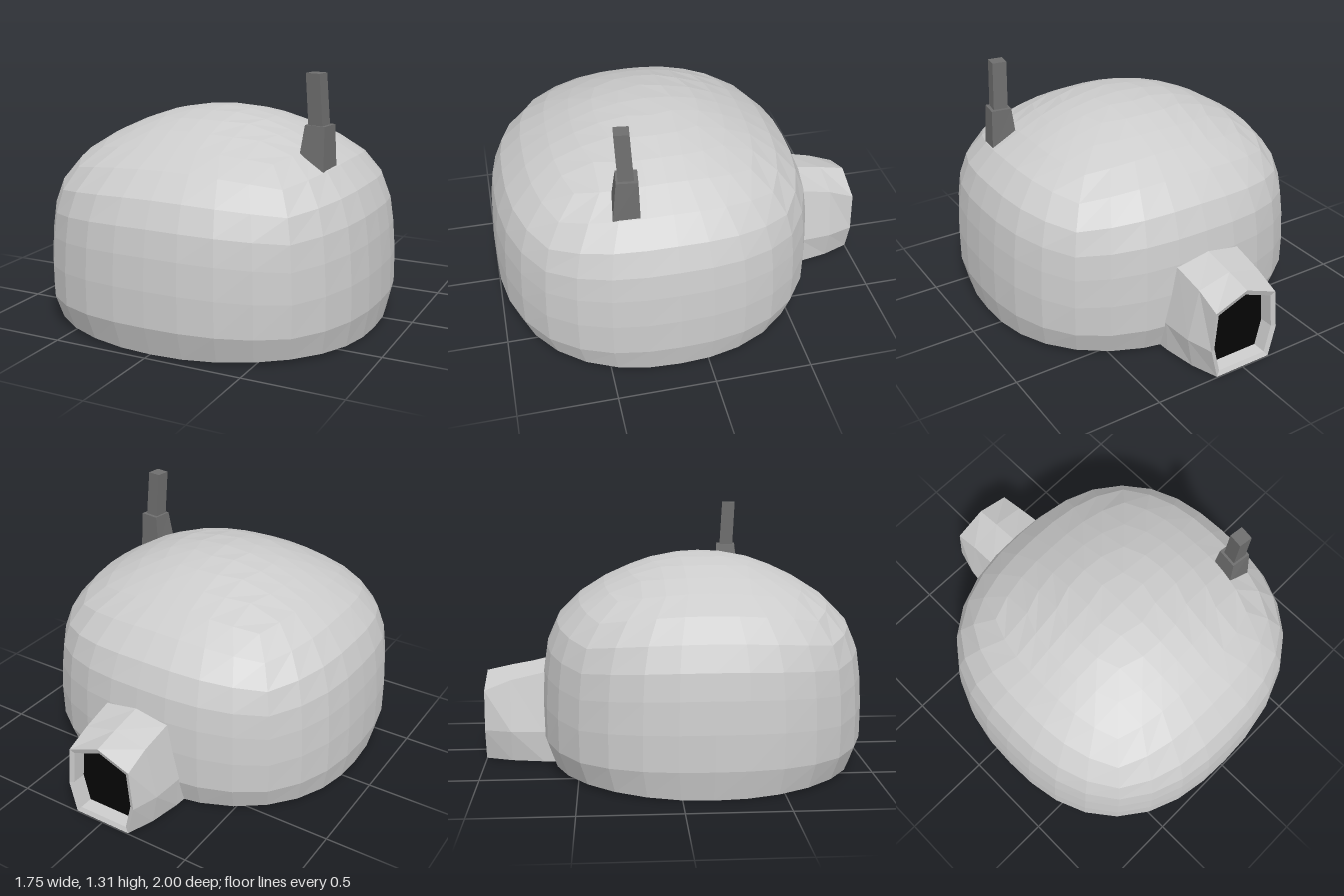
import * as THREE from 'three';

const V = (x, y, z) => new THREE.Vector3(x, y, z);

function flatMesh(name, geometry, color) {
  geometry.computeVertexNormals();
  const mesh = new THREE.Mesh(geometry, new THREE.MeshStandardMaterial({ color, flatShading: true }));
  mesh.name = name;
  return mesh;
}

// Skin a stack of equal-length closed rings; a ring collapsed to one point makes a cap.
function loft(name, rings, color) {
  const pos = [];
  const tri = (a, b, c) => {
    if (a.equals(b) || b.equals(c) || a.equals(c)) return;
    pos.push(...a.toArray(), ...b.toArray(), ...c.toArray());
  };
  for (let i = 0; i < rings.length - 1; i++) {
    const n = rings[i].length;
    for (let j = 0; j < n; j++) {
      const k = (j + 1) % n;
      tri(rings[i][j], rings[i][k], rings[i + 1][k]);
      tri(rings[i][j], rings[i + 1][k], rings[i + 1][j]);
    }
  }
  const geo = new THREE.BufferGeometry();
  geo.setAttribute('position', new THREE.Float32BufferAttribute(pos, 3));
  return flatMesh(name, geo, color);
}

// Dome: a gridded box whose rings are moved onto a rounded-square profile.
function makeDome() {
  // Half width, height, half depth from apex to foot
  const profile = new THREE.CatmullRomCurve3([
    [0, 1.087, 0], [0.15, 1.077, 0.14], [0.29, 1.05, 0.27], [0.42, 1.005, 0.39],
    [0.55, 0.945, 0.515], [0.69, 0.86, 0.65], [0.79, 0.745, 0.765], [0.84, 0.62, 0.82],
    [0.86, 0.49, 0.84], [0.873, 0.33, 0.85], [0.875, 0.15, 0.85], [0.845, 0, 0.80],
  ].map((p) => V(...p)));
  const geo = new THREE.BoxGeometry(8, 7, 8, 8, 7, 8).toNonIndexed();
  const pos = geo.attributes.position;
  for (let i = 0; i < pos.count; i++) {
    const x = pos.getX(i), z = pos.getZ(i);
    const row = Math.round(3.5 - pos.getY(i));
    const k = Math.max(Math.abs(x), Math.abs(z)) || 1e-6;
    const corner = Math.min(Math.abs(x), Math.abs(z)) / k;
    const angle = Math.atan2(Math.tan((z / k) * Math.PI / 4), Math.tan((x / k) * Math.PI / 4));

    // Step along the profile; box corners sit a little lower near the crown
    const onFloor = row === 7;
    const dip = 0.6 * corner ** 2 * (k / 4) * (1 - row / 7);
    const step = onFloor ? 11 : k + row + dip;
    const p = profile.getPoint(step / 11);
    const n = 2 + 0.45 * Math.min(1, step / 6);
    const c = Math.cos(angle), s = Math.sin(angle);
    let r = (Math.abs(c) ** n + Math.abs(s) ** n) ** (-1 / n);

    // Floor is slightly hollow and its rim lifts on the diagonals
    if (onFloor) {
      r *= k / 4;
      p.y = 0.06 * (1 - k / 4) + 0.018 * Math.sin(2 * angle) ** 2 * (k / 4);
    }
    pos.setXYZ(i, p.x * r * c, p.y, 0.15 + p.z * r * s);
  }
  return flatMesh('dome', geo, 0xcccccc);
}

// Entrance cross-section: foot, wall and shoulder half widths, then a shallow peak.
function tunnelRing(z, foot, wall, shoulder, shoulderY, peakY, scale = 1) {
  const half = [[foot, 0.005], [wall, 0.17], [shoulder, shoulderY]];
  const pts = [...half.map(([x, y]) => [-x, y]), [0, peakY], ...half.reverse()];
  return pts.map(([x, y]) => V(x * scale, 0.21 + (y - 0.21) * scale, z));
}

// Slightly turned square ring for the chimney; slope tilts it to follow the dome.
function squareRing(cx, y, cz, h, slope = 0) {
  const c = Math.cos(0.13), s = Math.sin(0.13);
  return [[-h, -h], [-h, h], [h, h], [h, -h]].map(([x, z]) => {
    const dx = c * x - s * z;
    return V(cx + dx, y - slope * dx, cz + s * x + c * z);
  });
}

export function createModel() {
  const model = new THREE.Group();
  model.name = 'domeHut';
  model.add(makeDome());

  // Entrance tunnel at the back, with rim and recessed inner walls
  const end = [0.16, 0.2, 0.18, 0.38, 0.45];
  const inner = tunnelRing(-0.92, ...end, 0.86);
  model.add(loft('entranceTunnel', [
    tunnelRing(-0.62, 0.245, 0.255, 0.19, 0.485, 0.52),
    tunnelRing(-0.69, 0.24, 0.25, 0.185, 0.475, 0.51),
    tunnelRing(-0.86, 0.21, 0.24, 0.18, 0.435, 0.48),
    tunnelRing(-1, ...end),
    tunnelRing(-0.99, ...end, 0.88),
    inner,
  ], 0xcccccc));

  // Dark doorway at the end of the recess
  model.add(loft('doorway', [inner, inner.map(() => V(0, 0.21, -0.92))], 0x050505));

  // Two-stage chimney
  model.add(loft('chimney', [
    squareRing(0.605, 0.862, 0.365, 0.067, 0.47),
    squareRing(0.61, 1.06, 0.358, 0.053),
    squareRing(0.607, 1.06, 0.362, 0.038),
    squareRing(0.593, 1.308, 0.373, 0.037),
    Array.from({ length: 4 }, () => V(0.593, 1.308, 0.373)),
  ], 0x6e6e6e));

  return model;
}
